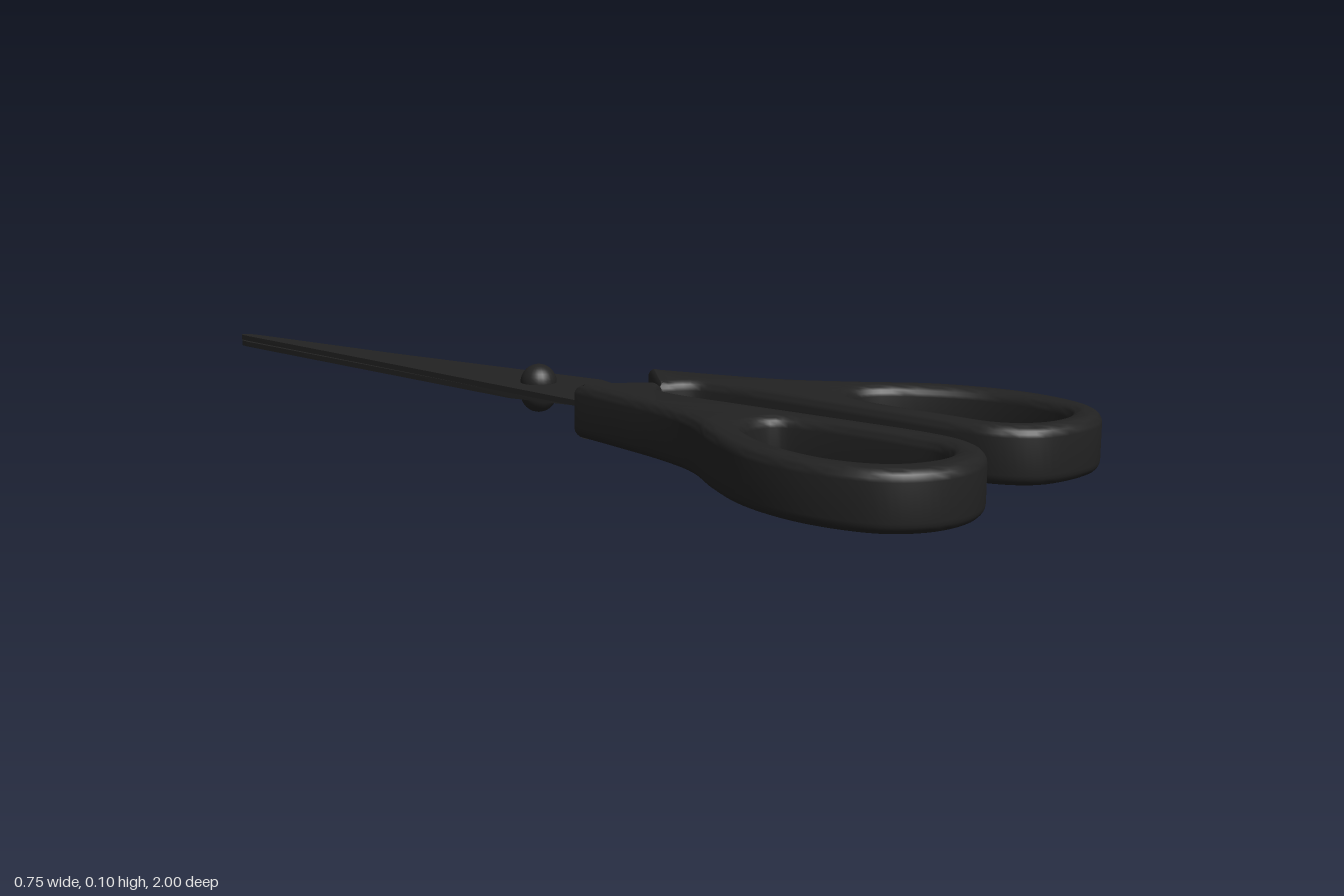
import * as THREE from 'three';
import { toCreasedNormals } from 'three/addons/utils/BufferGeometryUtils.js';

const black = new THREE.MeshStandardMaterial({ color: 0x222222 });
black.name = 'matte black';

const vec = (list) => list.map(([x, z]) => new THREE.Vector2(x, z));

// Lays a plan (x, z) shape flat, with its upper face at the given height
function slab(name, shape, top, height, bevel, crease) {
  let geo = new THREE.ExtrudeGeometry(shape, {
    depth: height - 2 * bevel,
    bevelEnabled: bevel > 0,
    bevelThickness: bevel,
    bevelSize: bevel,
    bevelOffset: -bevel,
    bevelSegments: 5,
    curveSegments: 5,
  });
  geo.rotateX(Math.PI / 2);
  geo.translate(0, top - bevel, 0);
  geo = toCreasedNormals(geo, crease);
  const mesh = new THREE.Mesh(geo, black);
  mesh.name = name;
  return mesh;
}

// Grip: two corners at the blade end, a smooth outline between them and a finger hole
function handle(name, outline, hole) {
  const curve = new THREE.SplineCurve(vec(outline));
  const shape = new THREE.Shape(curve.getPoints(outline.length * 5));
  const loop = new THREE.CatmullRomCurve3(hole.map(([x, z]) => new THREE.Vector3(x, z, 0)), true);
  shape.holes.push(new THREE.Path(loop.getPoints(56).slice(0, -1).map((p) => new THREE.Vector2(p.x, p.y))));
  return slab(name, shape, 0.105, 0.105, 0.02, 0.7);
}

export function createModel() {
  const model = new THREE.Group();
  model.name = 'scissors';

  // Handles
  model.add(handle('rightHandle', [
    [-0.156, 0.10], [-0.175, 0.22], [-0.2, 0.35], [-0.235, 0.45], [-0.3, 0.55], [-0.355, 0.66],
    [-0.375, 0.79], [-0.35, 0.91], [-0.29, 0.975], [-0.205, 0.998], [-0.12, 0.975], [-0.065, 0.915],
    [-0.047, 0.82], [-0.06, 0.63], [-0.077, 0.44], [-0.087, 0.31], [-0.075, 0.245], [-0.03, 0.208],
  ], [
    [-0.19, 0.548], [-0.137, 0.56], [-0.117, 0.61], [-0.104, 0.8], [-0.112, 0.885], [-0.155, 0.93],
    [-0.215, 0.936], [-0.285, 0.9], [-0.318, 0.82], [-0.308, 0.71], [-0.27, 0.62], [-0.23, 0.565],
  ]));
  model.add(handle('leftHandle', [
    [0.07, 0.085], [0.12, 0.24], [0.167, 0.355], [0.24, 0.465], [0.325, 0.58], [0.368, 0.71],
    [0.368, 0.82], [0.335, 0.91], [0.275, 0.958], [0.2, 0.968], [0.11, 0.945], [0.06, 0.885],
    [0.046, 0.8], [0.043, 0.6], [0.04, 0.4], [0.035, 0.3], [0.02, 0.24], [-0.035, 0.205],
  ], [
    [0.16, 0.513], [0.215, 0.53], [0.277, 0.61], [0.314, 0.71], [0.312, 0.82], [0.283, 0.89],
    [0.215, 0.917], [0.145, 0.905], [0.104, 0.86], [0.098, 0.76], [0.098, 0.6], [0.115, 0.54],
  ]));

  // Blades cross at the pivot, each with its tang running into one handle
  model.add(slab('upperBlade', new THREE.Shape(vec([
    [-0.103, -1], [-0.092, -0.985], [-0.085, -0.95], [-0.035, -0.55], [0.048, -0.02], [0.035, 0.02], [0, 0.08],
    [-0.04, 0.14], [-0.06, 0.19], [-0.08, 0.27], [-0.14, 0.27], [-0.14, 0.1],
    [-0.122, -0.55], [-0.113, -0.96], [-0.111, -0.99],
  ])), 0.069, 0.011, 0, 0.4));
  model.add(slab('lowerBlade', new THREE.Shape(vec([
    [-0.103, -0.998], [-0.092, -0.98], [-0.085, -0.95], [-0.035, -0.55], [0.05, -0.02], [0.066, 0.1], [0.085, 0.25],
    [0.035, 0.24], [-0.012, 0.175], [-0.04, 0.14], [-0.09, 0.06], [-0.13, -0.1],
    [-0.124, -0.55], [-0.118, -0.96], [-0.114, -0.985],
  ])), 0.057, 0.011, 0, 0.4));

  // Pivot screw, domed above and below
  const pivot = new THREE.Mesh(new THREE.CapsuleGeometry(0.036, 0.024, 8, 24), black);
  pivot.name = 'pivotScrew';
  pivot.position.set(-0.055, 0.057, -0.095);
  model.add(pivot);

  return model;
}
